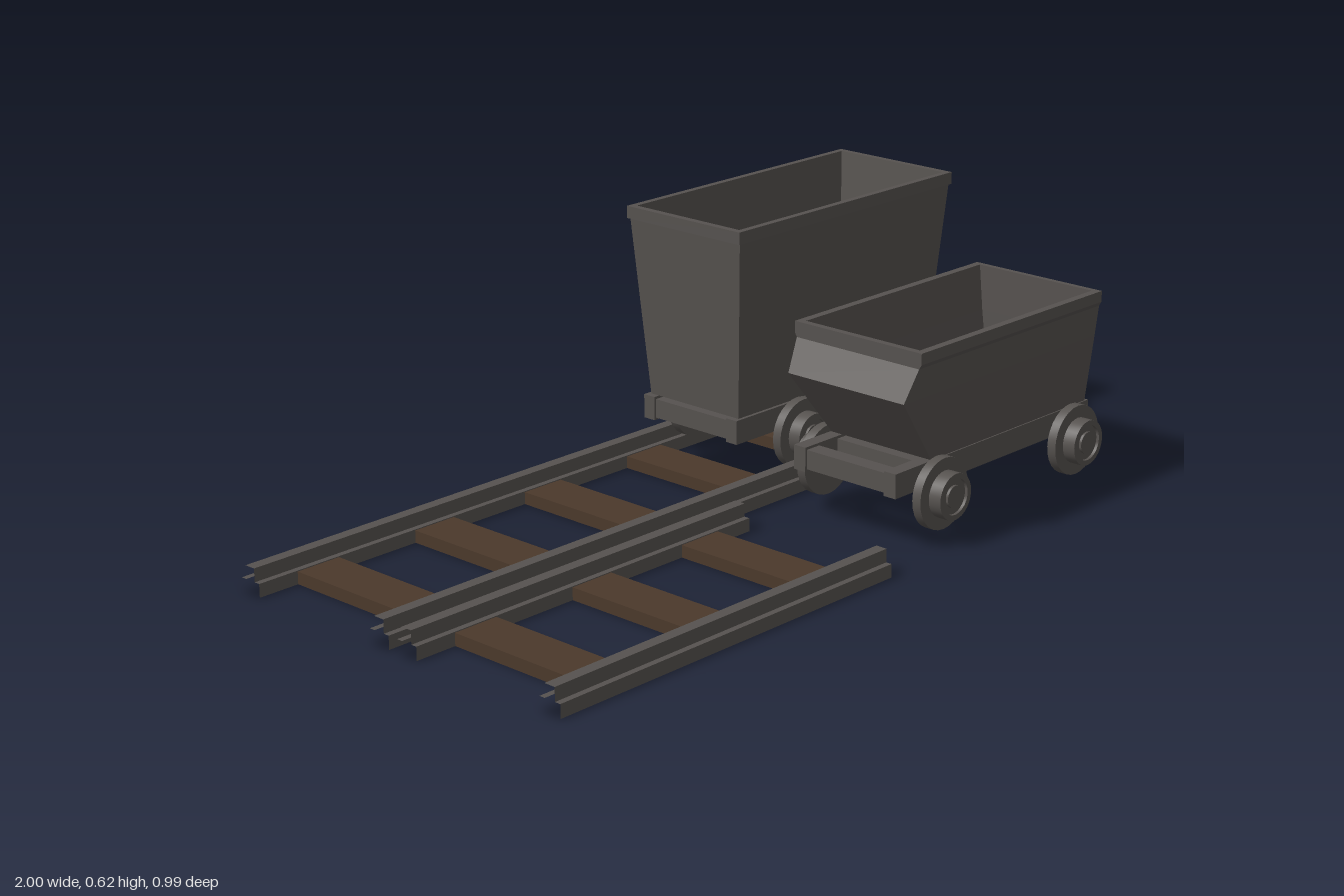
import * as THREE from 'three';
import { toCreasedNormals } from 'three/addons/utils/BufferGeometryUtils.js';

const steel = new THREE.MeshStandardMaterial({ color: 0x56524f });
steel.name = 'steel grey';
const wood = new THREE.MeshStandardMaterial({ color: 0x4b392b });
wood.name = 'wood brown';

function add(parent, name, geometry, material, x = 0, y = 0, z = 0) {
  const mesh = new THREE.Mesh(geometry, material);
  mesh.name = name;
  mesh.position.set(x, y, z);
  parent.add(mesh);
  return mesh;
}

// Box given by its limits on each axis
function block(parent, name, material, [x0, x1], [y0, y1], [z0, z1]) {
  return add(parent, name, new THREE.BoxGeometry(x1 - x0, y1 - y0, z1 - z0), material,
    (x0 + x1) / 2, (y0 + y1) / 2, (z0 + z1) / 2);
}

// Flat-faced skin through matching rings of points, with optional end caps for four-cornered rings
function skin(rings, capped) {
  const pos = [];
  const quad = (a, b, c, d) => [a, b, c, a, c, d].forEach((p) => pos.push(...p));
  for (let i = 0; i + 1 < rings.length; i++) {
    const r = rings[i], s = rings[i + 1], n = r.length;
    for (let j = 0; j < n; j++) quad(r[j], r[(j + 1) % n], s[(j + 1) % n], s[j]);
  }
  if (capped) {
    quad(...[...rings[0]].reverse());
    quad(...rings[rings.length - 1]);
  }
  const g = new THREE.BufferGeometry();
  g.setAttribute('position', new THREE.Float32BufferAttribute(pos, 3));
  g.computeVertexNormals();
  return g;
}

// Hollow tub: levels of [y, xMin, xMax, halfWidth], up the outside and down the inside
function tub(levels) {
  return skin(levels.map(([y, x0, x1, w]) => [[x0, y, w], [x1, y, w], [x1, y, -w], [x0, y, -w]]), true);
}

// Rail section (z, y): wide foot and narrow head
const railSection = [[0.0275, 0], [-0.0275, 0], [-0.0275, 0.03], [-0.0135, 0.03],
  [-0.0135, 0.06], [0.0135, 0.06], [0.0135, 0.03], [0.0275, 0.03]];

function track(name, x1, z, sleepers) {
  const group = new THREE.Group();
  group.name = name;
  const geometry = skin([-1, x1].map((x) => railSection.map(([rz, ry]) => [x, ry, rz])), false);
  for (const s of [-1, 1]) add(group, 'rail', geometry, steel, 0, 0, z + s * 0.1975);
  for (let i = 0; i < sleepers; i++) {
    const x = -0.845 + i * 0.32;
    block(group, 'sleeper', wood, [x - 0.055, x + 0.055], [0, 0.028], [z - 0.17, z + 0.17]);
  }
  return group;
}

// Flanged wheel with a recessed hub, turned around the axle
const wheelProfile = [[0, 0.15], [0.08, 0.15], [0.08, 0.172], [0.052, 0.172], [0.052, 0.203],
  [0.04, 0.203], [0.04, 0.196], [0.025, 0.196], [0.025, 0.202], [0, 0.202]];
const wheelGeometry = toCreasedNormals(
  new THREE.LatheGeometry(wheelProfile.map(([r, h]) => new THREE.Vector2(r, h)), 28), 0.6);

function cart(name, z, levels, wheelXs, [x0, x1]) {
  const group = new THREE.Group();
  group.name = name;
  group.position.z = z;
  add(group, 'tub', tub(levels), steel);
  // Chassis
  for (const s of [-1, 1]) {
    block(group, 'sideBeam', steel, [x0, x1], [0.123, 0.178], [s * 0.125 - 0.016, s * 0.125 + 0.016]);
  }
  for (const x of [x0 + 0.005, ...wheelXs.map((w) => w - 0.02), x1 - 0.045]) {
    block(group, 'crossBeam', steel, [x, x + 0.04], [0.128, 0.172], [-0.11, 0.11]);
  }
  // Wheels and axles
  for (const x of wheelXs) {
    const axle = add(group, 'axle', new THREE.CylinderGeometry(0.011, 0.011, 0.31, 12), steel, x, 0.11, 0);
    axle.rotation.x = Math.PI / 2;
    for (const s of [-1, 1]) {
      add(group, 'wheel', wheelGeometry, steel, x, 0.11, 0).rotation.x = s * Math.PI / 2;
    }
  }
  return group;
}

export function createModel() {
  const model = new THREE.Group();
  model.name = 'mineCartsAndTracks';

  model.add(track('longTrack', 0.82, -0.21, 6));
  model.add(track('shortTrack', -0.05, 0.265, 3));

  // Tall cart with sloping walls
  model.add(cart('tallCart', -0.207, [
    [0.178, 0.1, 0.75, 0.133], [0.587, 0.07, 0.784, 0.164],
    [0.587, 0.064, 0.79, 0.168], [0.615, 0.064, 0.79, 0.168],
    [0.615, 0.08, 0.775, 0.153], [0.195, 0.115, 0.737, 0.122],
  ], [0.275, 0.59], [0.085, 0.765]));

  // Low cart with a bulging tipping end
  model.add(cart('tippingCart', 0.27, [
    [0.178, 0.175, 0.72, 0.138], [0.335, 0.055, 0.72, 0.159], [0.405, 0.092, 0.72, 0.168],
    [0.415, 0.092, 0.72, 0.174], [0.44, 0.092, 0.72, 0.174],
    [0.44, 0.108, 0.707, 0.156], [0.335, 0.078, 0.707, 0.146], [0.195, 0.185, 0.707, 0.128],
  ], [0.18, 0.65], [0.055, 0.73]));

  // Stepped timber buffer with plain grey ends
  const outline = [[0.82, 0], [1, 0], [1, 0.113], [0.963, 0.113], [0.963, 0.23],
    [0.856, 0.23], [0.856, 0.113], [0.82, 0.113]];
  const shape = new THREE.Shape(outline.map(([x, y]) => new THREE.Vector2(x, y)));
  add(model, 'bufferStop', new THREE.ExtrudeGeometry(shape, { depth: 0.585, bevelEnabled: false }),
    [steel, wood], 0, 0, -0.5);

  return model;
}
